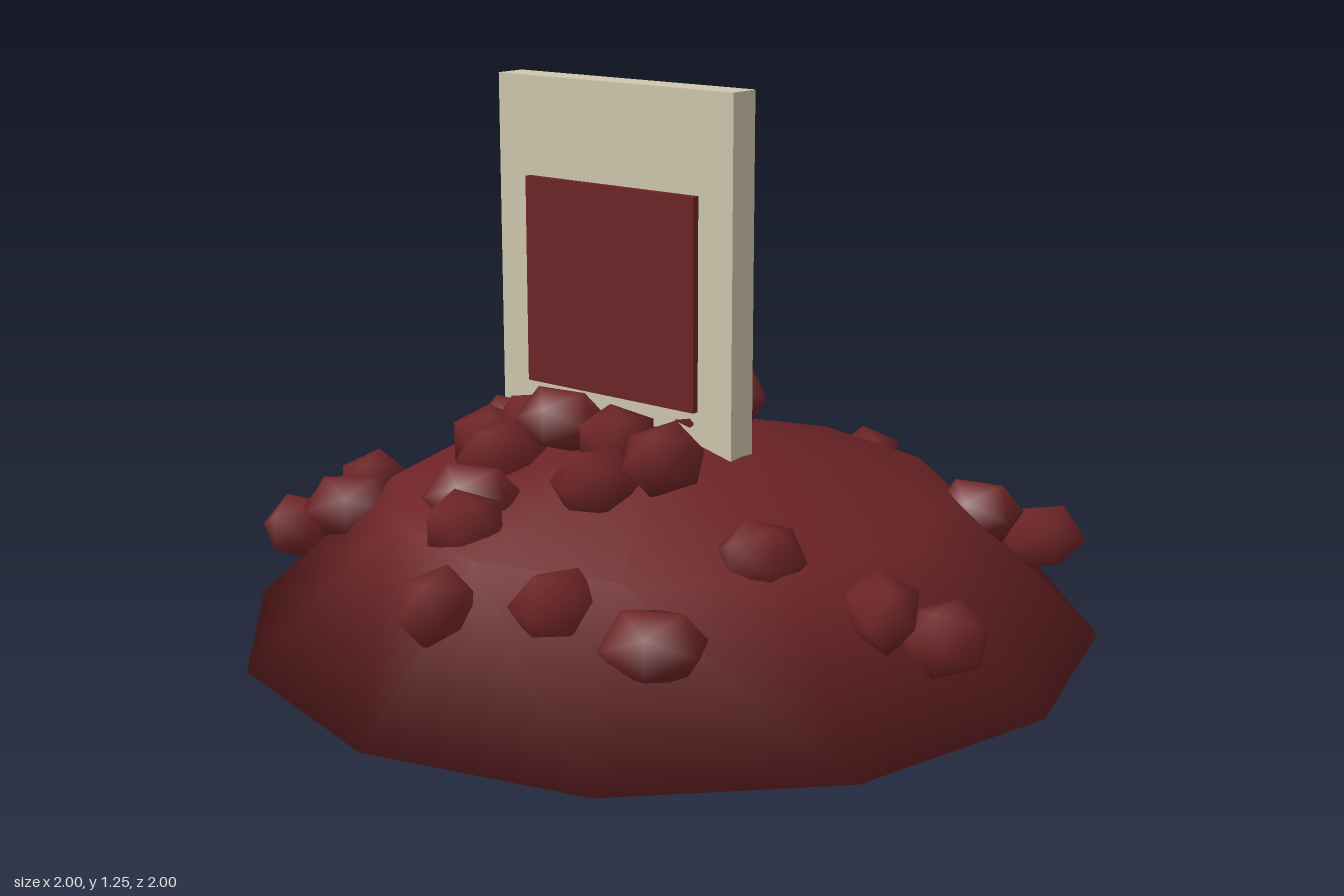
import * as THREE from 'three';
import { mergeVertices } from 'three/addons/utils/BufferGeometryUtils.js';

// Weld the corners so that the normals run smoothly over every edge
function smooth(geometry) {
  geometry.deleteAttribute('normal');
  geometry.deleteAttribute('uv');
  const welded = mergeVertices(geometry, 1e-3);
  welded.computeVertexNormals();
  return welded;
}

function addMesh(parent, name, geometry, material, x = 0, y = 0, z = 0) {
  const mesh = new THREE.Mesh(geometry, material);
  mesh.name = name;
  mesh.position.set(x, y, z);
  parent.add(mesh);
  return mesh;
}

export function createModel() {
  const group = new THREE.Group();
  group.name = 'moundWithSign';
  const earth = new THREE.MeshStandardMaterial({ color: 0x6e2426 });
  earth.name = 'dark red';
  const board = new THREE.MeshStandardMaterial({ color: 0xcfc6ac });
  board.name = 'beige';

  // Twelve-sided mound with a closed, flat underside
  const profile = [[0, 0], [1, 0], [0.66, 0.31], [0, 0.475]].map(([r, y]) => new THREE.Vector2(r, y));
  addMesh(group, 'mound', smooth(new THREE.LatheGeometry(profile, 12)), earth);

  // Upright board and its raised front panel
  addMesh(group, 'signBoard', new THREE.BoxGeometry(0.69, 1.245, 0.08), board, -0.135, 0.6275, 0);
  addMesh(group, 'signPanel', new THREE.BoxGeometry(0.5, 0.495, 0.018), earth, -0.135, 0.7675, 0.048);

  // Scattered rocks: x, y, z
  const rocks = [
    // back
    [-0.43, 0.2, -0.74], [0.02, 0.19, -0.83], [-0.37, 0.31, -0.53],
    [0.66, 0.17, -0.59], [0.57, 0.25, -0.45], [-0.06, 0.47, -0.28],
    // heap on the back right
    [-0.65, 0.21, -0.54], [-0.72, 0.2, -0.45], [-0.62, 0.27, -0.42],
    [-0.74, 0.23, -0.36], [-0.82, 0.18, -0.31], [-0.71, 0.25, -0.3], [-0.62, 0.29, -0.3],
    // around the board
    [-0.39, 0.42, -0.15], [-0.36, 0.43, -0.08], [0.06, 0.49, -0.06], [0.12, 0.54, -0.06],
    [-0.41, 0.4, 0.08], [-0.39, 0.4, 0.19], [-0.28, 0.4, 0.27], [-0.3, 0.44, 0.13],
    [-0.18, 0.48, 0.17], [0.01, 0.47, 0.2], [0.16, 0.46, 0.22], [0.07, 0.42, 0.35],
    // front
    [-0.2, 0.36, 0.45], [-0.13, 0.33, 0.55], [-0.02, 0.23, 0.75],
    [0.22, 0.26, 0.65], [0.45, 0.22, 0.62], [0.49, 0.33, 0.31],
    // sides
    [-0.7, 0.25, 0.28], [-0.71, 0.22, 0.37], [-0.64, 0.24, 0.41], [-0.87, 0.13, 0.37],
    [0.72, 0.23, 0.2], [0.85, 0.19, 0.16],
  ];
  const rockGeometry = smooth(new THREE.IcosahedronGeometry(0.108, 0));
  const rockGroup = new THREE.Group();
  rockGroup.name = 'rocks';
  group.add(rockGroup);
  rocks.forEach(([x, y, z], i) => {
    const rock = addMesh(rockGroup, 'rock', rockGeometry, earth, x, y, z);
    rock.rotation.y = i * 2.4;
    rock.scale.set(1.04 + 0.1 * Math.sin(i * 3.1), 0.78, 0.88 + 0.06 * Math.cos(i * 1.7));
  });
  return group;
}
